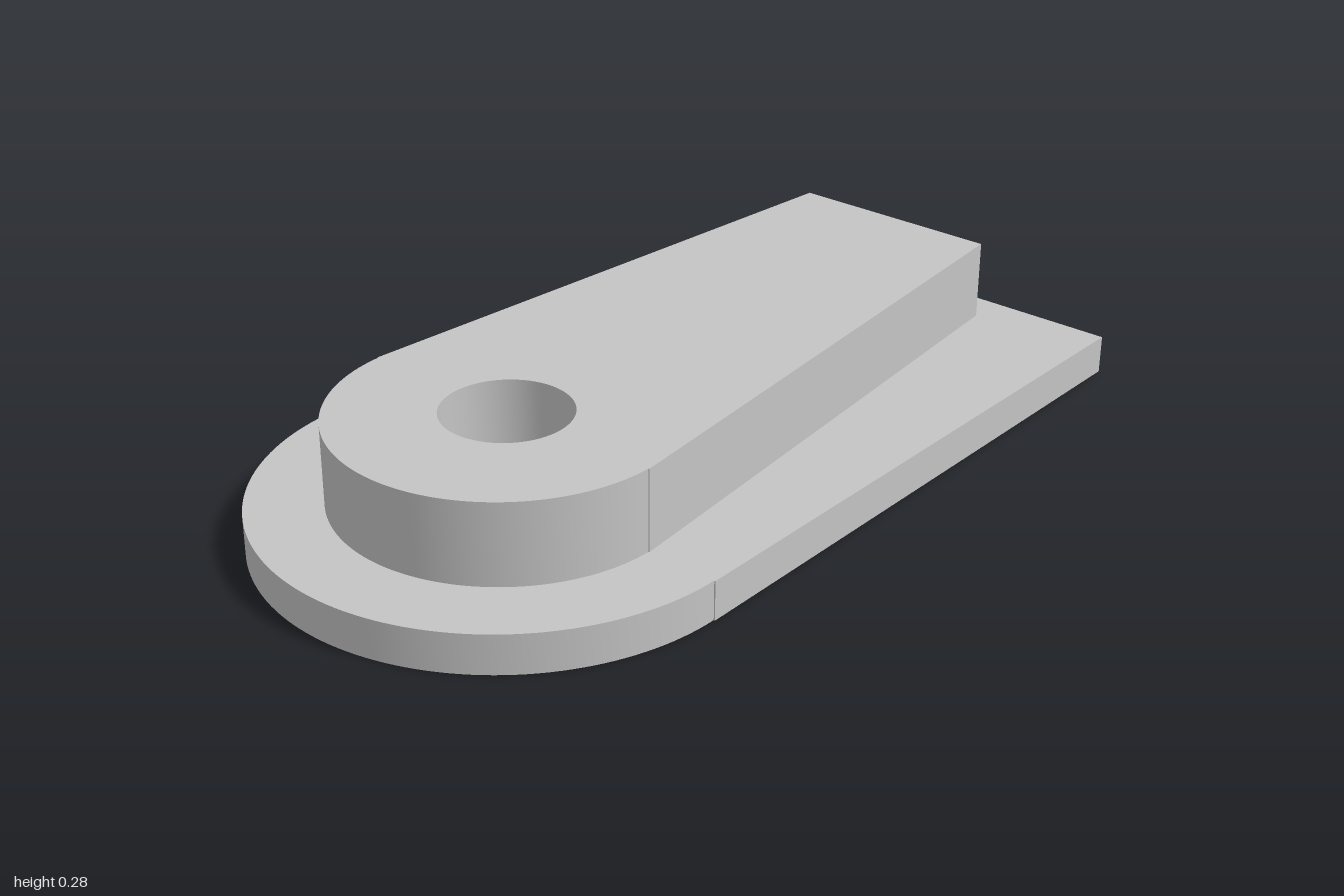
import * as THREE from 'three';
import { toCreasedNormals } from 'three/addons/utils/BufferGeometryUtils.js';

const HOLE_Z = 0.453;
const HOLE_RADIUS = 0.142;

// Slab with a straight back, a round front and a bored hole (shape y is -z)
function roundedSlab(backHalf, backZ, frontHalf, radius, bottom, top) {
  const shape = new THREE.Shape();
  shape.moveTo(backHalf, -backZ);
  shape.lineTo(-backHalf, -backZ);
  shape.lineTo(-frontHalf, -HOLE_Z);
  shape.absarc(0, -HOLE_Z, radius, Math.PI, Math.PI * 2, false);
  shape.lineTo(frontHalf, -HOLE_Z);
  shape.closePath();

  const hole = new THREE.Path();
  hole.absarc(0, -HOLE_Z, HOLE_RADIUS, 0, Math.PI * 2, true);
  shape.holes.push(hole);

  const geometry = new THREE.ExtrudeGeometry(shape, {
    depth: top - bottom, bevelEnabled: false, curveSegments: 40,
  });
  geometry.rotateX(-Math.PI / 2);
  geometry.translate(0, bottom, 0);
  return toCreasedNormals(geometry, 0.5);
}

export function createModel() {
  const group = new THREE.Group();
  group.name = 'pivotBracket';
  const grey = new THREE.MeshStandardMaterial({ color: 0xc4c4c4 });
  grey.name = 'plain grey';

  // Wide base plate
  const base = new THREE.Mesh(roundedSlab(0.55, -1, 0.55, 0.547, 0, 0.09), grey);
  base.name = 'basePlate';

  // Raised arm tapering towards the back
  const arm = new THREE.Mesh(roundedSlab(0.255, -0.91, 0.382, 0.38, 0.09, 0.277), grey);
  arm.name = 'taperedArm';

  group.add(base, arm);
  return group;
}
